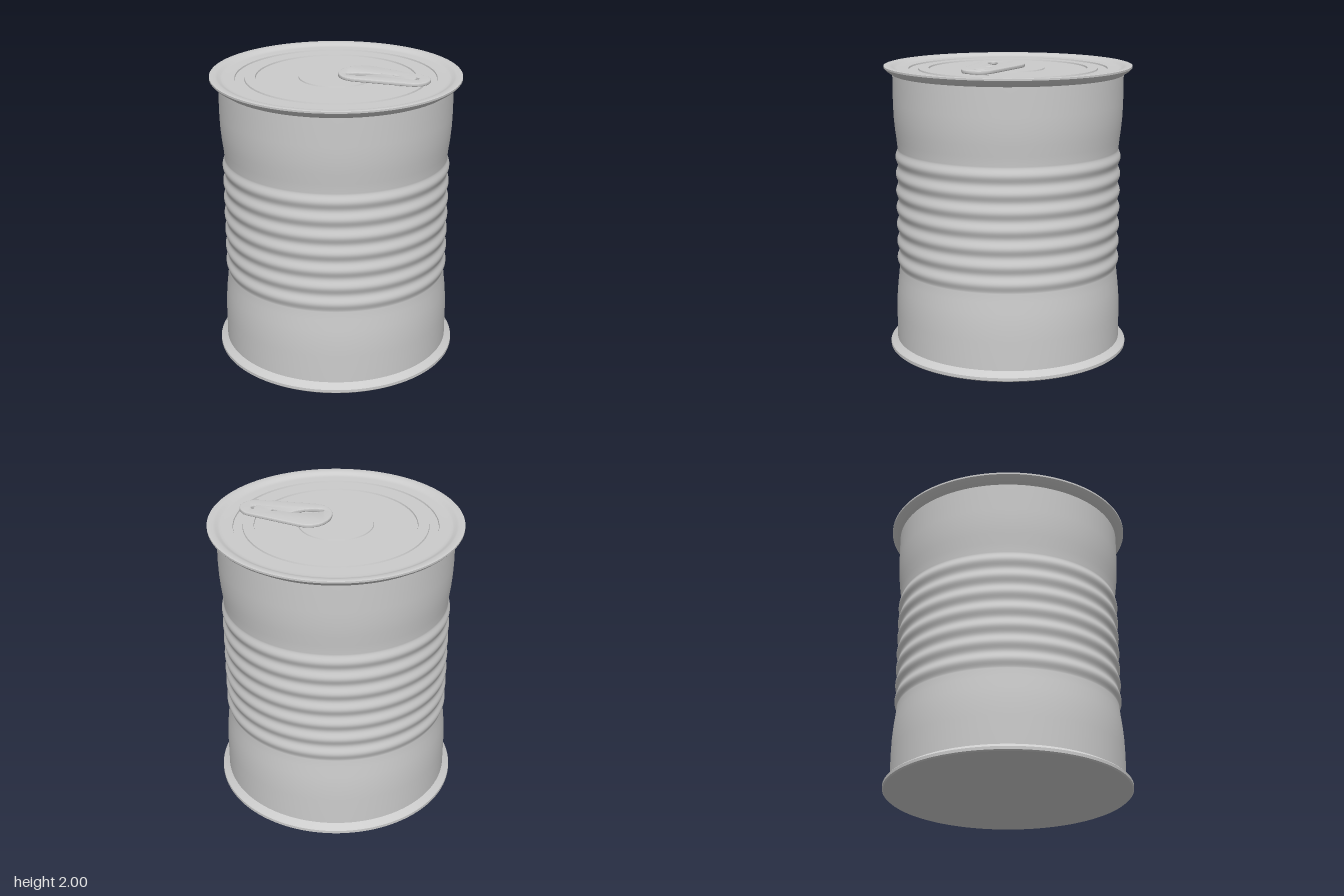
import * as THREE from 'three';
import { toCreasedNormals } from 'three/addons/utils/BufferGeometryUtils.js';

const material = new THREE.MeshStandardMaterial({ color: 0xcccccc });
const SEGMENTS = 112;

function mesh(name, geometry) {
  const m = new THREE.Mesh(geometry, material);
  m.name = name;
  return m;
}

// Revolved part; profile runs upwards as [radius, y]
function turned(name, profile, crease) {
  const points = profile.map(([r, y]) => new THREE.Vector2(r, y));
  const geometry = new THREE.LatheGeometry(points, SEGMENTS);
  return mesh(name, crease ? toCreasedNormals(geometry, crease) : geometry);
}

// Wall: straight ends easing into seven rolled ribs
function canWall() {
  const low = 0.575, high = 1.41, ribs = 7, steps = 12;
  const neck = [[0.787, 0], [0.787, 0.17], [0.784, 0.25], [0.777, 0.32], [0.768, 0.38]];
  const profile = neck.map(([r, d]) => [r, 0.04 + d * 1.25]);
  for (let i = 0; i <= ribs * steps; i++) {
    const t = i / (ribs * steps);
    const r = 0.77 - 0.008 * Math.cos(t * ribs * Math.PI * 2);
    profile.push([r, low + (high - low) * t]);
  }
  neck.reverse().forEach(([r, d]) => profile.push([r, 1.93 - d * 1.2]));
  return turned('wall', profile);
}

// Closed base with a flared seam
function base() {
  return turned('base', [
    [0, 0], [0.825, 0], [0.834, 0.008], [0.834, 0.028], [0.825, 0.037], [0.79, 0.056], [0.785, 0.062],
  ], 0.6);
}

// Flared lid with a sunken panel and stepped rings
function lid() {
  const profile = [
    [0.785, 1.915], [0.795, 1.922], [0.83, 1.945], [0.845, 1.962], [0.845, 1.974], [0.838, 1.976],
    [0.805, 1.974], [0.79, 1.969], [0.775, 1.96], [0.762, 1.956], [0.745, 1.955],
  ];
  let y = 1.955;
  [[0.677, -0.01], [0.613, 0.01], [0.54, -0.01], [0.25, 0.008]].forEach(([r, step]) => {
    profile.push([r, y], [r - 0.003, y + step]);
    y += step;
  });
  profile.push([0, y]);
  return turned('lid', profile, 0.5);
}

// Pull tab: tapered plate with a finger opening and two small slots
function pullTab() {
  const plate = new THREE.Shape();
  plate.moveTo(0.20, -0.142);
  plate.lineTo(0.575, -0.087);
  plate.bezierCurveTo(0.685, -0.06, 0.685, 0.09, 0.575, 0.117);
  plate.lineTo(0.20, 0.172);
  plate.bezierCurveTo(-0.02, 0.195, -0.02, -0.165, 0.20, -0.142);

  const opening = new THREE.Path();
  opening.moveTo(0.10, -0.05);
  opening.bezierCurveTo(0.09, -0.09, 0.13, -0.095, 0.19, -0.075);
  opening.bezierCurveTo(0.26, -0.05, 0.29, 0.0, 0.325, 0.033);
  opening.bezierCurveTo(0.22, 0.025, 0.12, -0.01, 0.10, -0.05);

  const slot = new THREE.Path();
  slot.moveTo(0.442, 0.008);
  slot.lineTo(0.442, 0.055);
  slot.lineTo(0.405, 0.048);
  slot.quadraticCurveTo(0.388, 0.03, 0.405, 0.014);

  const crescent = new THREE.Path();
  crescent.moveTo(0.545, -0.01);
  crescent.quadraticCurveTo(0.572, 0.025, 0.545, 0.06);
  crescent.lineTo(0.575, 0.055);
  crescent.quadraticCurveTo(0.605, 0.025, 0.575, -0.008);
  plate.holes.push(opening, slot, crescent);

  const bevel = 0.006;
  const geometry = new THREE.ExtrudeGeometry(plate, {
    depth: 0.012, bevelThickness: bevel, bevelSize: bevel, bevelSegments: 3, curveSegments: 20,
  });
  geometry.rotateX(-Math.PI / 2);
  geometry.translate(0, 2 - 0.012 - bevel, 0);
  return mesh('pullTab', toCreasedNormals(geometry, 0.6));
}

// Rivet joining the tab to the lid
function rivet() {
  const geometry = new THREE.CylinderGeometry(0.035, 0.045, 0.036, 24);
  geometry.translate(0.495, 1.964, -0.015);
  return mesh('rivet', geometry);
}

export function createModel() {
  const can = new THREE.Group();
  can.name = 'can';
  can.add(base(), canWall(), lid(), pullTab(), rivet());
  return can;
}
